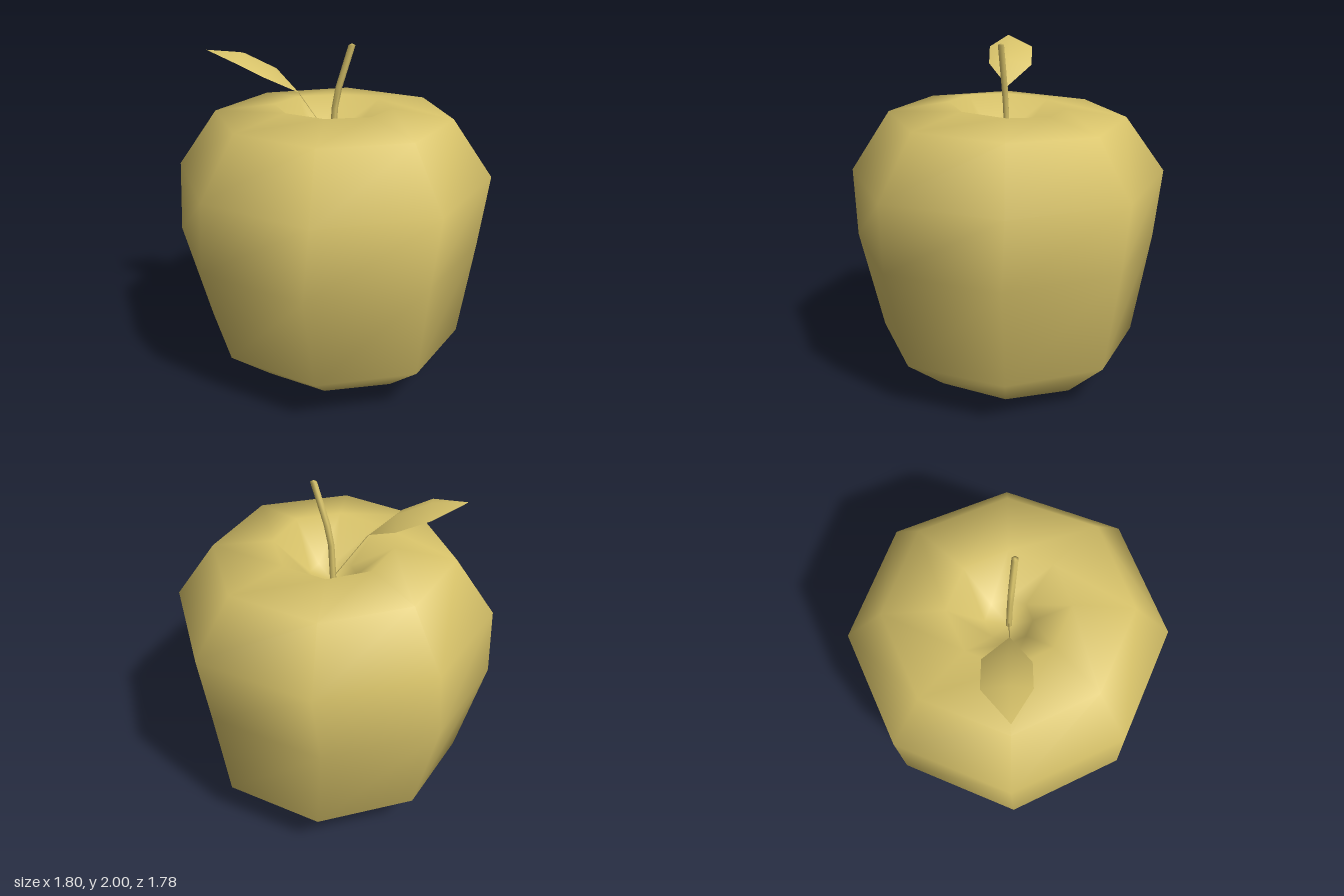
import * as THREE from 'three';

const material = new THREE.MeshStandardMaterial({ color: 0xd8c36a, side: THREE.DoubleSide });

// Mesh from flat positions and indices, with smooth shared normals
function build(name, points, index) {
  const geometry = new THREE.BufferGeometry();
  geometry.setAttribute('position', new THREE.Float32BufferAttribute(points.flat(), 3));
  geometry.setIndex(index);
  geometry.computeVertexNormals();
  const mesh = new THREE.Mesh(geometry, material);
  mesh.name = name;
  return mesh;
}

// Skin over rings stacked from bottom to top, closed by a point at each end.
// Ring: radius r, centre x y z, and a tilt that raises its +z side.
function loft(name, rings, sides, bottom, top, spread = () => 1) {
  const points = [], index = [];
  for (const { r, x = 0, y, z = 0, tilt = 0 } of rings) {
    for (let j = 0; j < sides; j++) {
      const a = (j / sides) * Math.PI * 2;
      const rr = r * spread(j);
      points.push([x + rr * Math.cos(a), y + tilt * Math.sin(a), z + rr * Math.sin(a)]);
    }
  }
  const low = points.push(bottom) - 1;
  const high = points.push(top) - 1;
  const last = (rings.length - 1) * sides;
  for (let j = 0; j < sides; j++) {
    const k = (j + 1) % sides;
    index.push(low, j, k, high, last + k, last + j);
    for (let i = 0; i < last; i += sides) {
      index.push(i + j, i + sides + j, i + k, i + k, i + sides + j, i + sides + k);
    }
  }
  return build(name, points, index);
}

export function createModel() {
  const group = new THREE.Group();
  group.name = 'apple';

  // Eight-sided fruit, slightly irregular, with a hollow at both ends
  const lumps = [1, 1.02, 0.99, 0.965, 1, 0.985, 1, 1.015];
  group.add(loft('fruit', [
    { r: 0.27, y: 0.02, x: 0.01, tilt: 0.015 },
    { r: 0.5, y: 0.08, x: 0.02, tilt: 0.03 },
    { r: 0.745, y: 0.285, tilt: 0.01 },
    { r: 0.87, y: 0.86, x: -0.035, z: 0.015 },
    { r: 0.893, y: 1.265 },
    { r: 0.67, y: 1.59, tilt: 0.015 },
    { r: 0.33, y: 1.64, tilt: 0.02 },
    { r: 0.13, y: 1.46 },
  ], 8, [0, 0.1, 0], [0, 1.4, 0], (j) => lumps[j]));

  // Bent stem rising out of the hollow
  group.add(loft('stem', [
    { r: 0.018, x: 0, y: 1.4 },
    { r: 0.018, x: 0.012, y: 1.63, z: 0.005 },
    { r: 0.019, x: 0.035, y: 1.75, z: 0.012 },
    { r: 0.019, x: 0.108, y: 1.99, z: 0.03 },
  ], 6, [0, 1.4, 0], [0.108, 2, 0.03]));

  // Hair-thin stalk joining the leaf to the stem
  group.add(loft('leafStalk', [
    { r: 0.003, x: -0.01, y: 1.45 },
    { r: 0.003, x: -0.19, y: 1.71 },
  ], 3, [-0.01, 1.45, 0], [-0.19, 1.71, 0]));

  // Leaf folded along a raised midrib
  group.add(build('leaf', [
    [-0.19, 1.71, 0],
    [-0.34, 1.81, -0.14], [-0.335, 1.845, -0.01], [-0.36, 1.815, 0.11],
    [-0.52, 1.89, -0.145], [-0.515, 1.925, -0.01], [-0.52, 1.89, 0.11],
    [-0.705, 1.935, 0],
  ], [0, 1, 2, 0, 2, 3, 1, 4, 2, 2, 4, 5, 2, 5, 3, 3, 5, 6, 4, 7, 5, 5, 7, 6]));

  return group;
}
